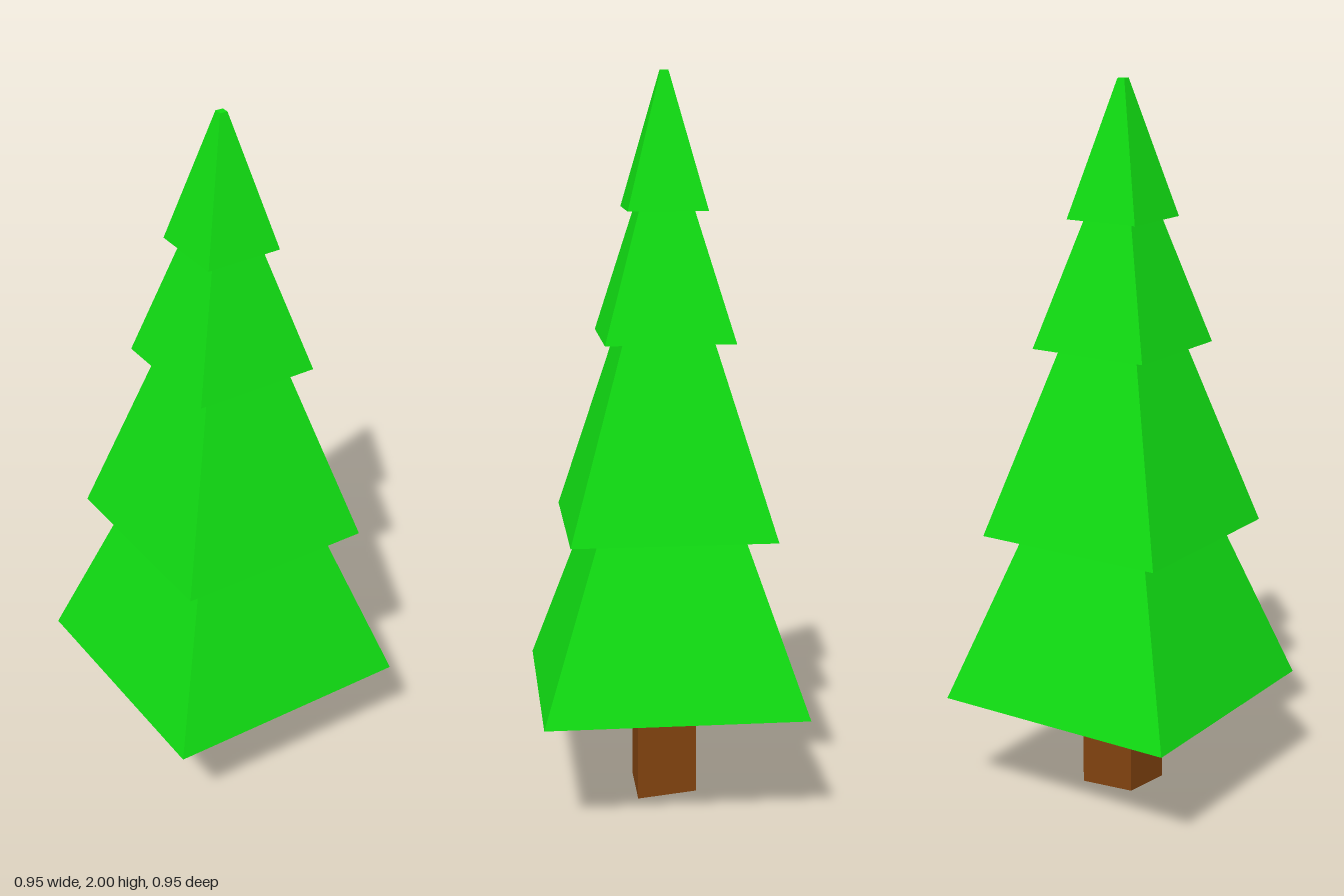
import * as THREE from 'three';

const TURN = 0.319; // twist of the square plan about the vertical axis

export function createModel() {
  const tree = new THREE.Group();
  tree.name = 'pineTree';

  // Foliage: four stacked square tiers with flat undersides, [bottom radius, top radius, bottom y, top y]
  const tiers = [
    [0.5, 0.277, 0.305, 0.773],
    [0.39, 0.173, 0.773, 1.29],
    [0.247, 0.105, 1.29, 1.635],
    [0.152, 0.015, 1.635, 2],
  ];
  const profile = [new THREE.Vector2(0, tiers[0][2])];
  for (const [r0, r1, y0, y1] of tiers) {
    profile.push(new THREE.Vector2(r0, y0), new THREE.Vector2(r1, y1));
  }
  profile.push(new THREE.Vector2(0, 2));
  const foliage = new THREE.Mesh(
    new THREE.LatheGeometry(profile, 4, TURN),
    new THREE.MeshStandardMaterial({ color: 0x10dc12, flatShading: true })
  );
  foliage.name = 'foliage';
  tree.add(foliage);

  // Trunk: square post whose foot is cut at a slight slope, lowest at the +x corner
  const top = 0.305;
  const geometry = new THREE.CylinderGeometry(0.115, 0.115, top, 4, 1, false, TURN);
  geometry.translate(0, top / 2, 0);
  const p = geometry.attributes.position;
  for (let i = 0; i < p.count; i++) {
    if (p.getY(i) < 0.01) p.setY(i, 0.0145 - 0.125 * p.getX(i) + 0.02 * p.getZ(i));
  }
  const trunk = new THREE.Mesh(
    geometry,
    new THREE.MeshStandardMaterial({ color: 0x80420f, flatShading: true })
  );
  trunk.name = 'trunk';
  tree.add(trunk);

  return tree;
}
